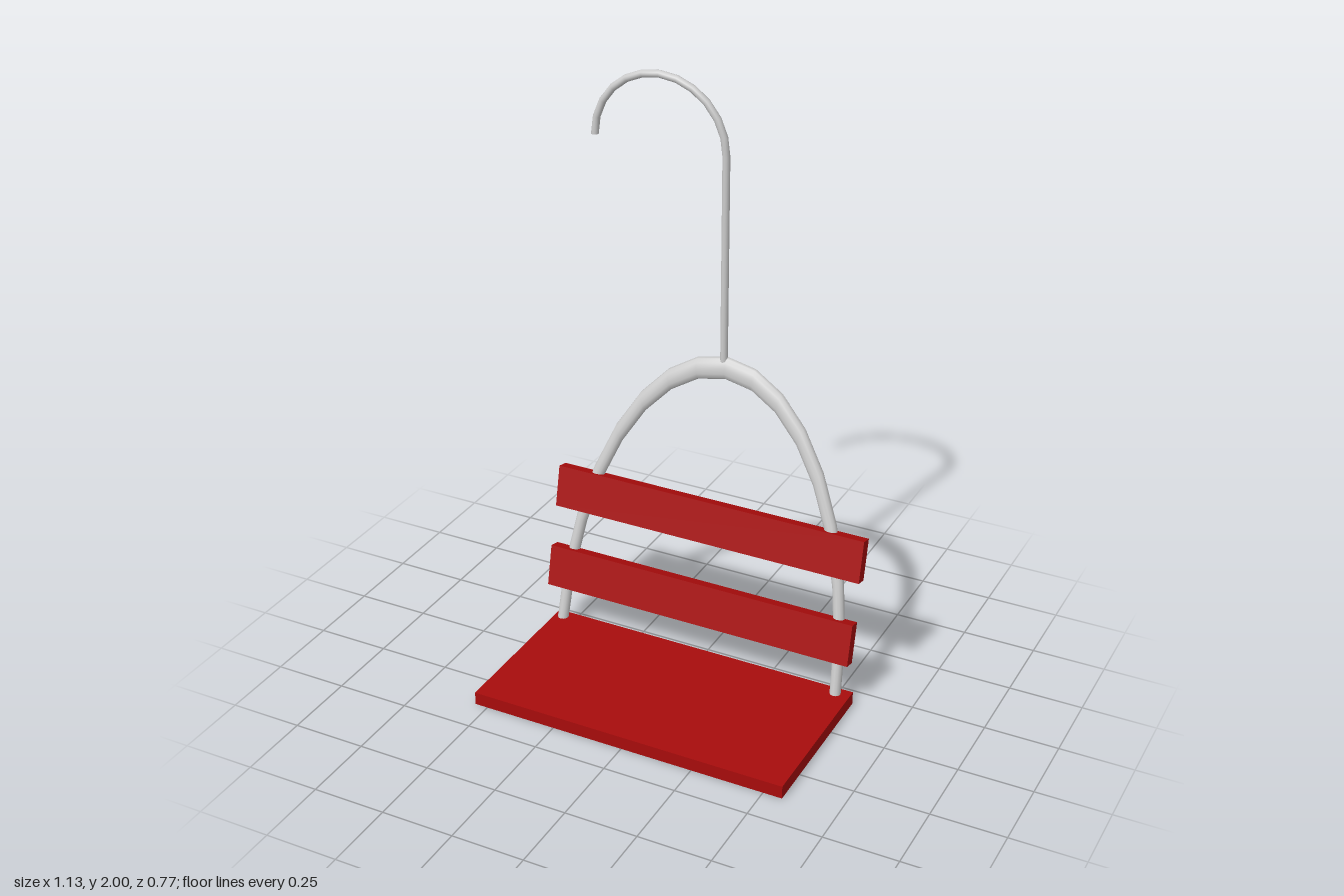
import * as THREE from 'three';

export function createModel() {
  const group = new THREE.Group();
  const red = new THREE.MeshStandardMaterial({ color: 0xa80c0c });
  const grey = new THREE.MeshStandardMaterial({ color: 0xcccccc });
  const tilt = -0.219; // backward lean shared by the arch and the slats

  const add = (name, geometry, material, x, y, z, lean = 0) => {
    const mesh = new THREE.Mesh(geometry, material);
    mesh.name = name;
    mesh.position.set(x, y, z);
    mesh.rotation.x = lean;
    group.add(mesh);
    return mesh;
  };

  // Flat seat board
  add('seat', new THREE.BoxGeometry(1.11, 0.045, 0.565), red, 0.01, 0.0225, 0.1025);

  // Two leaning back slats
  const slat = new THREE.BoxGeometry(1.122, 0.144, 0.042);
  add('upperSlat', slat, red, -0.006, 0.51, -0.248, tilt);
  add('lowerSlat', slat, red, -0.006, 0.231, -0.178, tilt);

  // Tall arch: half a torus stretched along its height
  const arch = new THREE.TorusGeometry(0.515, 0.019, 12, 16, Math.PI);
  arch.scale(1, 1.985, 1);
  add('backArch', arch, grey, 0, 0.03, -0.147, tilt);

  // Hanging rod rising from the arch, with a semicircular hook on top
  const rodRadius = 0.0125, hookRadius = 0.2325, hookY = 1.755;
  const rodBottom = 1.03, rodX = -0.01, rodZ = -0.37;
  add('rod', new THREE.CylinderGeometry(rodRadius, rodRadius, hookY - rodBottom, 12),
    grey, rodX, (hookY + rodBottom) / 2, rodZ);
  add('hook', new THREE.TorusGeometry(hookRadius, rodRadius, 12, 12, Math.PI),
    grey, rodX - hookRadius, hookY, rodZ);

  // Closed tip of the hook, facing down
  const tip = new THREE.CircleGeometry(rodRadius, 12);
  add('hookTip', tip, grey, rodX - 2 * hookRadius, hookY, rodZ, Math.PI / 2);

  return group;
}
